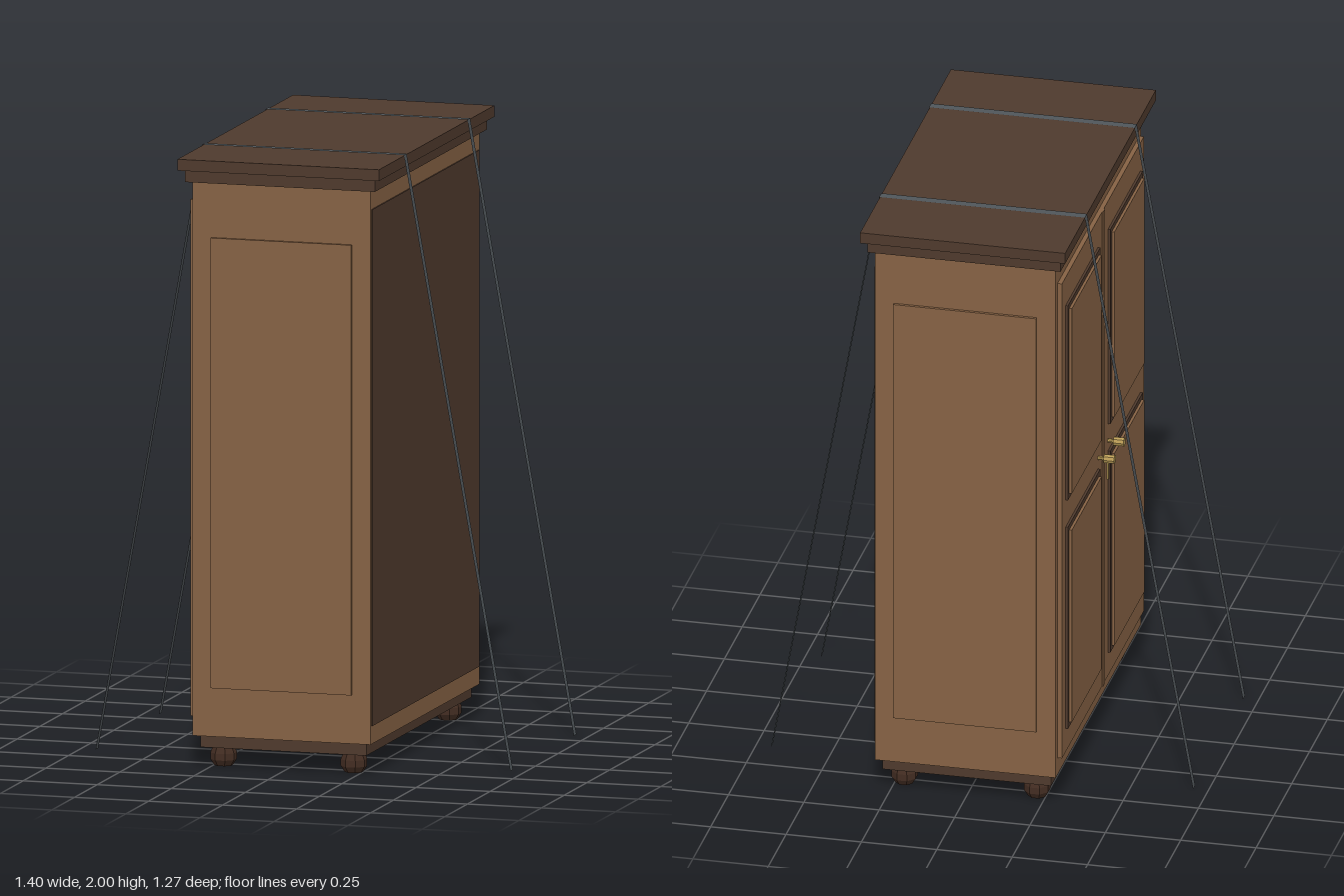
import * as THREE from 'three';

const mat = (color, extra = {}) => {
  const m = new THREE.MeshStandardMaterial(extra);
  m.color.set(color);
  return m;
};
const wood = mat(0x866244);
const darkWood = mat(0x4f3a2d);
const footWood = mat(0x432d22, { flatShading: true });
const brass = mat(0xb89b56, { flatShading: true });
const webbing = mat(0x50565a, { side: THREE.DoubleSide });

export function createModel() {
  const root = new THREE.Group();
  root.name = 'strappedWardrobe';

  const add = (name, geometry, material) => {
    const mesh = new THREE.Mesh(geometry, material);
    mesh.name = name;
    root.add(mesh);
    return mesh;
  };
  // Box given by its lower and upper limits on each axis
  const box = (name, material, [x0, x1], [y0, y1], [z0, z1]) =>
    add(name, new THREE.BoxGeometry(x1 - x0, y1 - y0, z1 - z0), material)
      .position.set((x0 + x1) / 2, (y0 + y1) / 2, (z0 + z1) / 2);

  // Carcass, plinth, stepped cornice and rear board
  box('carcass', wood, [-0.3, 0.3], [0.105, 1.92], [-0.6, 0.6]);
  box('plinth', darkWood, [-0.28, 0.28], [0.065, 0.105], [-0.58, 0.58]);
  box('lowerCornice', darkWood, [-0.32, 0.32], [1.92, 1.96], [-0.617, 0.617]);
  box('upperCornice', darkWood, [-0.34, 0.34], [1.96, 1.997], [-0.637, 0.637]);
  box('backBoard', darkWood, [0.29, 0.304], [0.165, 1.857], [-0.59, 0.59]);

  // Bun feet
  const footProfile = [[0, 0], [0.03, 0], [0.043, 0.02], [0.043, 0.042], [0.033, 0.066], [0, 0.066]]
    .map(([r, y]) => new THREE.Vector2(r, y));
  for (const x of [-0.22, 0.22]) {
    for (const z of [-0.52, 0.52]) {
      const foot = add('foot', new THREE.LatheGeometry(footProfile, 8), footWood);
      foot.position.set(x, 0, z);
      foot.rotation.y = Math.PI / 8;
    }
  }

  for (const s of [-1, 1]) {
    // Raised end panel
    const span = (a, b) => [Math.min(s * a, s * b), Math.max(s * a, s * b)];
    box('sidePanel', wood, [-0.237, 0.237], [0.265, 1.74], span(0.59, 0.61));

    // Door leaf with two moulded panels
    box('door', wood, [-0.315, -0.295], [0.165, 1.857], span(0.006, 0.575));
    for (const [y0, y1] of [[0.265, 0.95], [1.08, 1.74]]) {
      box('doorMoulding', darkWood, [-0.323, -0.31], [y0 - 0.017, y1 + 0.017], span(0.07, 0.525));
      box('doorPanel', wood, [-0.332, -0.315], [y0, y1], span(0.09, 0.508));
    }

    // Door knob on a thin stem
    const knob = add('knob', new THREE.CylinderGeometry(0.015, 0.015, 0.035, 8), brass);
    knob.rotation.z = Math.PI / 2;
    knob.position.set(-0.353, 1.005, s * 0.068);
    const stem = add('knobStem', new THREE.CylinderGeometry(0.007, 0.007, 0.03, 8), brass);
    stem.rotation.z = Math.PI / 2;
    stem.position.set(-0.325, 1.005, s * 0.068);
  }
  box('doorCoverStrip', wood, [-0.319, -0.3], [0.165, 1.857], [-0.014, 0.014]);
  box('keyPlate', brass, [-0.319, -0.31], [0.87, 0.93], [0.058, 0.078]);

  // Flat tie-down straps running over the top to the ground on both sides
  const path = [[-0.7, 0], [-0.341, 2], [0.341, 2], [0.7, 0]];
  for (const z of [-0.35, 0.35]) {
    const ribbon = new THREE.PlaneGeometry(1, 1, 3, 1);
    const p = ribbon.attributes.position;
    for (let i = 0; i < p.count; i++) {
      const [x, y] = path[i % 4];
      p.setXYZ(i, x, y, z + (i < 4 ? -0.015 : 0.015));
    }
    const flat = ribbon.toNonIndexed();
    flat.computeVertexNormals();
    add('strap', flat, webbing);
  }

  return root;
}
